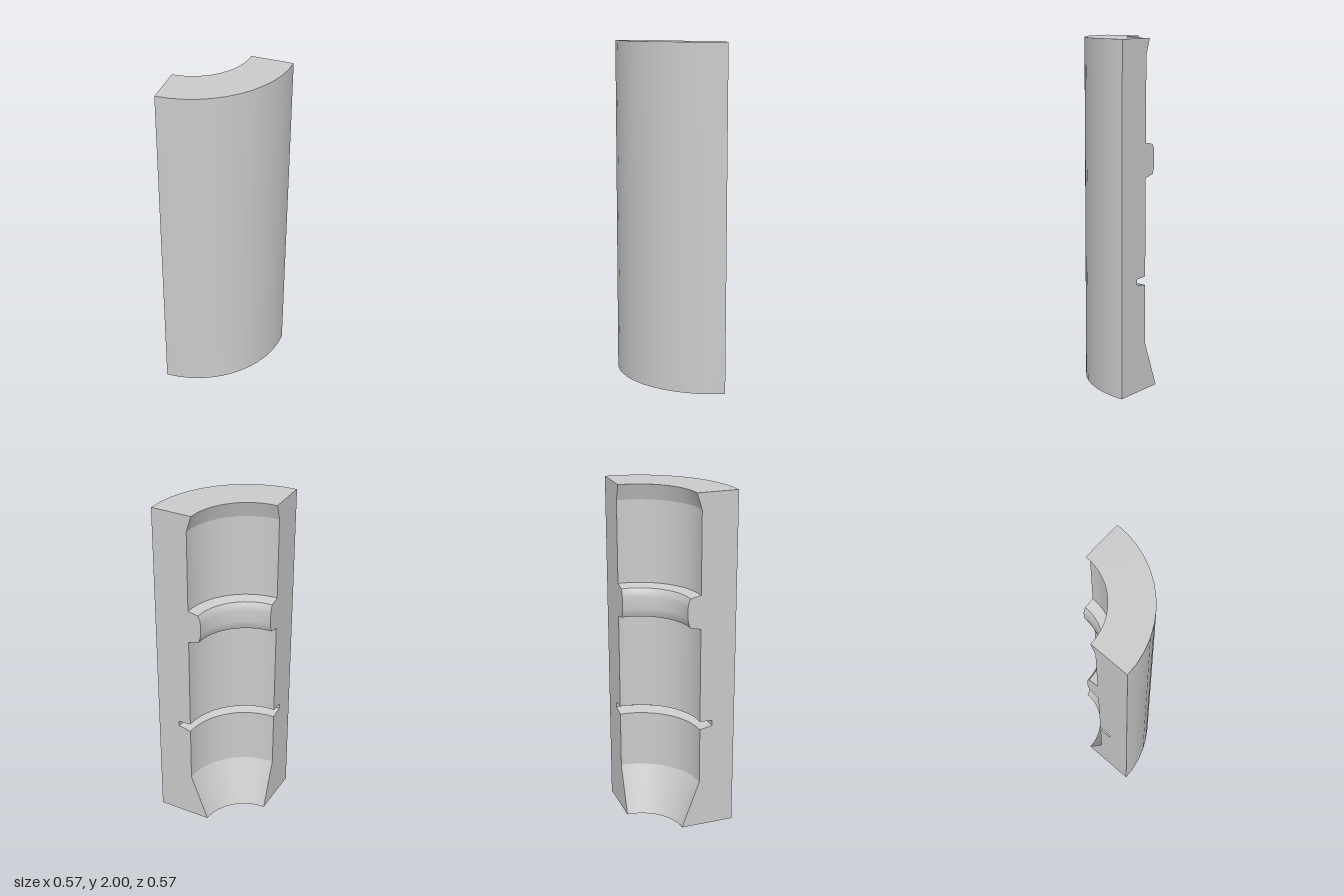
import * as THREE from 'three';

// Quarter sleeve: a closed wall profile turned 90 degrees about an offset axis
const OUTER = 0.572;
const SEGMENTS = 12;

// Smooth runs of the profile [radius, height]; each run starts where the last one ended
const RUNS = {
  outerWall: [[OUTER, 0], [OUTER, 2]],
  topRim: [[0.332, 2]],
  topTaper: [[0.362, 1.908]],
  upperBore: [[0.362, 1.43]],
  ridgeTop: [[0.3, 1.417]],
  ridgeCrest: [[0.289, 1.392], [0.285, 1.365], [0.285, 1.3], [0.289, 1.273], [0.3, 1.247]],
  ridgeUnderside: [[0.362, 1.232]],
  middleBore: [[0.362, 0.67]],
  grooveTop: [[0.438, 0.667]],
  grooveWall: [[0.438, 0.635]],
  grooveBottom: [[0.362, 0.62]],
  lowerBore: [[0.362, 0.282]],
  bottomTaper: [[0.256, 0]],
  bottomRim: [[OUTER, 0]],
};

export function createModel() {
  const model = new THREE.Group();
  model.name = 'quarterSleeve';
  const material = new THREE.MeshStandardMaterial({ color: 0xcccccc });

  const add = (name, geometry) => {
    const mesh = new THREE.Mesh(geometry, material);
    mesh.name = name;
    mesh.position.set(-OUTER / 2, 0, -OUTER / 2);
    model.add(mesh);
    return mesh;
  };

  // Turned surfaces, one per run so the edges between runs stay sharp
  const profile = [];
  for (const [name, run] of Object.entries(RUNS)) {
    const start = profile.slice(-1);
    const points = run.map(([r, y]) => new THREE.Vector2(r, y));
    profile.push(...points);
    add(name, new THREE.LatheGeometry([...start, ...points], SEGMENTS, 0, Math.PI / 2));
  }
  profile.pop(); // the last point repeats the first

  // Flat cut faces closing both ends of the quarter turn
  const cutFace = (side) => new THREE.ShapeGeometry(
    new THREE.Shape(profile.map((p) => new THREE.Vector2(p.x * side, p.y))));
  add('rightCutFace', cutFace(1)).rotation.y = -Math.PI / 2;
  add('backCutFace', cutFace(-1)).rotation.y = Math.PI;

  return model;
}
